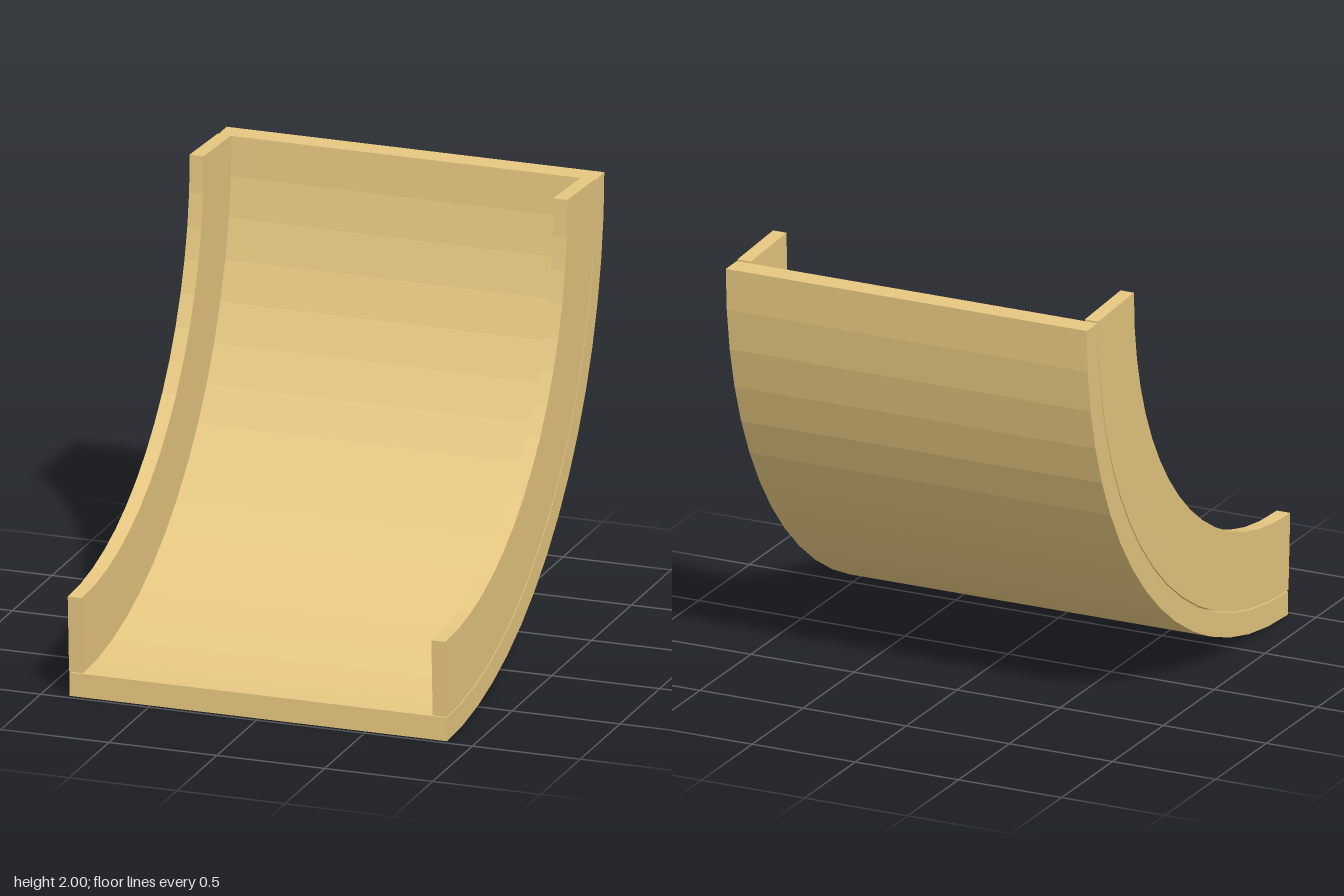
import * as THREE from 'three';

const RADIUS = 1.977, CENTRE_Z = 0.977; // outer quarter arc, resting on y = 0
const SEGMENTS = 16;
const STEP = Math.PI / 2 / SEGMENTS;

// Point at a given height in from the outer arc; tilt leans it off the radius
function arcPoint(i, height, tilt) {
  const a = i * STEP, b = a - tilt;
  return new THREE.Vector2(
    CENTRE_Z - RADIUS * Math.sin(a) + height * Math.sin(b),
    RADIUS - RADIUS * Math.cos(a) + height * Math.cos(b));
}

// Faceted quarter band between two heights, extruded across x and centred on x = 0
function arcBand(low, high, width, endTilt) {
  const points = [];
  // The two end sections lean outwards by endTilt
  const tiltAt = (i) => (i === 0 ? -endTilt : i === SEGMENTS ? endTilt : 0);
  for (let i = 0; i <= SEGMENTS; i++) points.push(arcPoint(i, low, tiltAt(i)));
  for (let i = SEGMENTS; i >= 0; i--) points.push(arcPoint(i, high, tiltAt(i)));
  const geometry = new THREE.ExtrudeGeometry(new THREE.Shape(points), { depth: width, bevelEnabled: false });
  geometry.translate(0, 0, -width / 2);
  geometry.rotateY(-Math.PI / 2); // profile x becomes world z
  return geometry;
}

export function createModel() {
  const model = new THREE.Group();
  model.name = 'curvedTrough';
  const wood = new THREE.MeshStandardMaterial({ color: 0xe6c780 });
  wood.name = 'lightWood';

  // Wide curved floor board, cut square at both ends
  const board = new THREE.Mesh(arcBand(0, 0.108, 1.75, 0), wood);
  board.name = 'curvedBoard';
  model.add(board);

  // Side rails a hairline above the board, with slightly flared ends
  const rail = arcBand(0.1135, 0.465, 0.065, STEP / 2);
  for (const side of [1, -1]) {
    const mesh = new THREE.Mesh(rail, wood);
    mesh.name = side > 0 ? 'leftRail' : 'rightRail';
    mesh.position.x = side * 0.8425;
    model.add(mesh);
  }
  return model;
}
